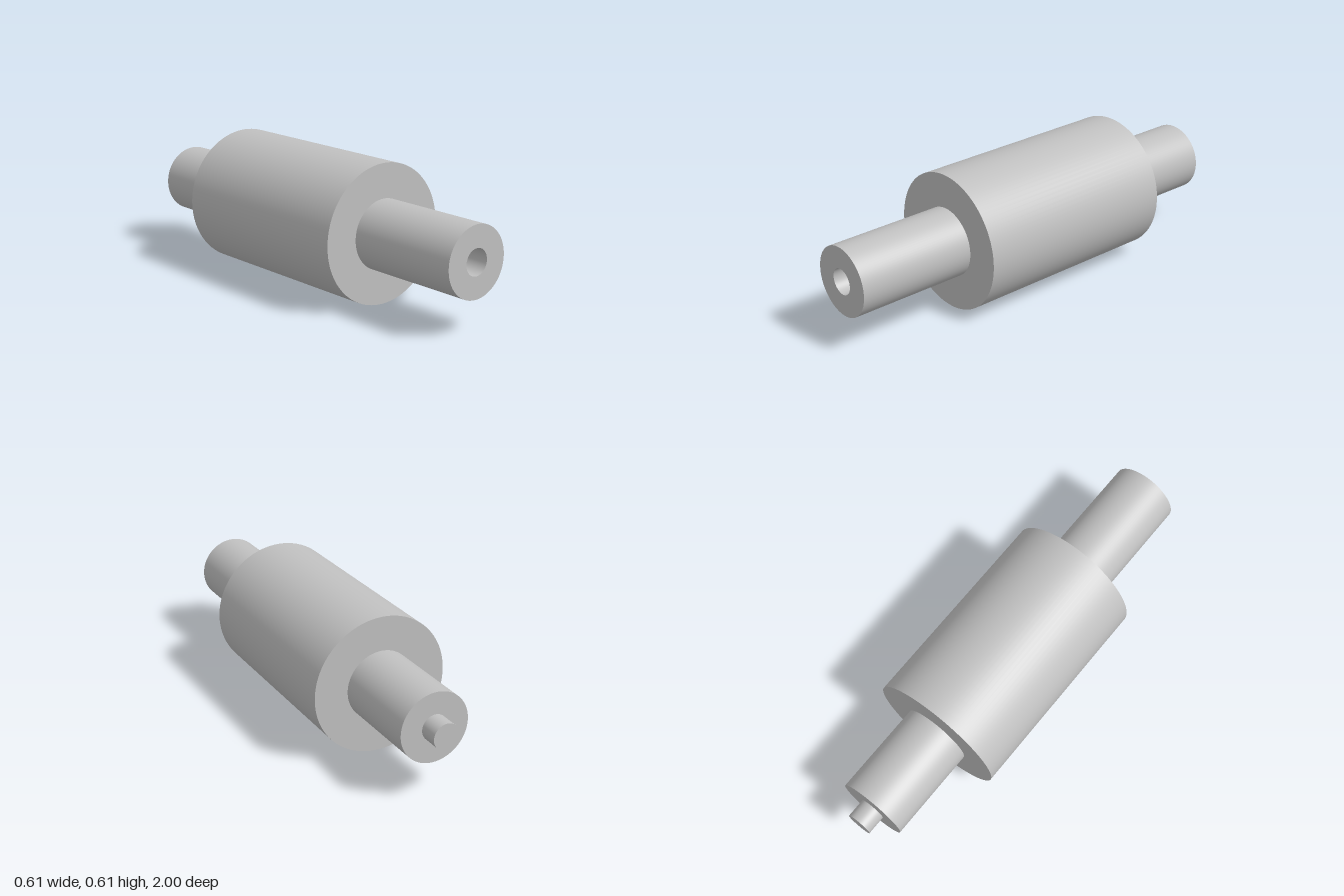
import * as THREE from 'three';
import { mergeGeometries } from 'three/addons/utils/BufferGeometryUtils.js';

const AXIS_Y = 0.304;
const SEGMENTS = 96;

// Revolves [radius, z] points about z; each segment is its own lathe so edges stay sharp
function turned(name, points, material) {
  const bands = [];
  for (let i = 0; i < points.length - 1; i++) {
    const pair = [points[i], points[i + 1]].map(([r, z]) => new THREE.Vector2(r, z));
    bands.push(new THREE.LatheGeometry(pair, SEGMENTS));
  }
  const geometry = mergeGeometries(bands);
  geometry.rotateX(Math.PI / 2);
  const mesh = new THREE.Mesh(geometry, material);
  mesh.name = name;
  mesh.position.y = AXIS_Y;
  return mesh;
}

export function createModel() {
  const steel = new THREE.MeshStandardMaterial({ color: 0xc0c0c0 });
  steel.name = 'steel grey';

  const pin = 0.057, shaft = 0.153, drum = 0.304;
  const group = new THREE.Group();
  group.name = 'roller';
  group.add(
    // locating pin at the back end
    turned('pin', [[0, -1], [pin, -1], [pin, -0.914]], steel),
    // rear shaft with its annular end face
    turned('rearShaft', [[pin, -0.914], [shaft, -0.914], [shaft, -0.49]], steel),
    // main drum with both shoulders
    turned('drum', [[shaft, -0.49], [drum, -0.49], [drum, 0.465], [shaft, 0.465]], steel),
    // front shaft with its annular end face
    turned('frontShaft', [[shaft, 0.465], [shaft, 1], [pin, 1]], steel),
    // blind hole in the front end
    turned('socket', [[pin, 1], [pin, 0.9], [0, 0.9]], steel),
  );
  return group;
}
